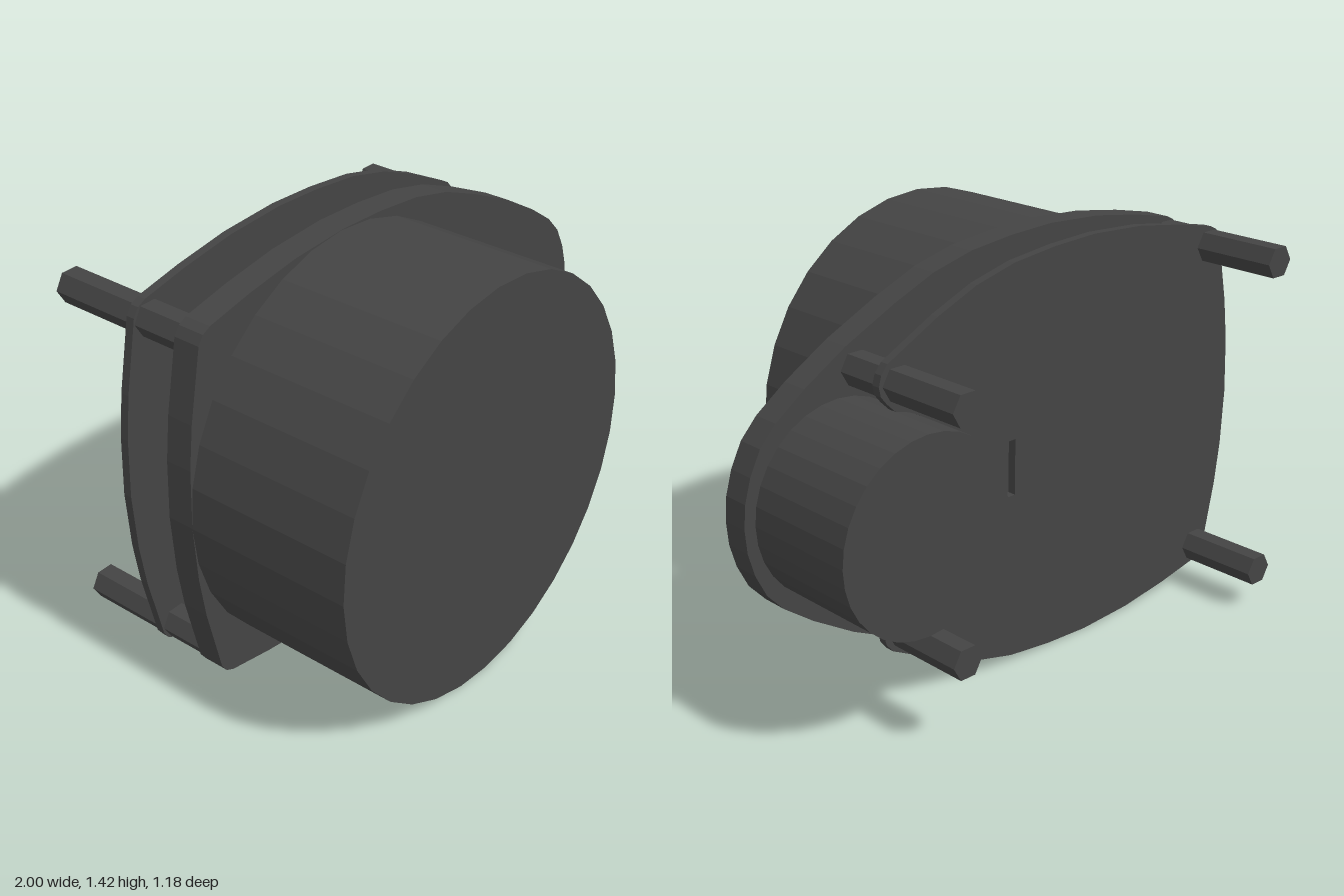
import * as THREE from 'three';

const CY = 0.712; // height of the horizontal symmetry axis
const MOTOR_X = 0.635, MOTOR_R = 0.325;
const material = new THREE.MeshStandardMaterial({ color: 0x444444, flatShading: true });

function addMesh(group, name, geometry) {
  const mesh = new THREE.Mesh(geometry, material);
  mesh.name = name;
  group.add(mesh);
}

// Cylinder lying along z between two depths
function addCylinder(group, name, x, y, radius, z0, z1, sides) {
  const g = new THREE.CylinderGeometry(radius, radius, z1 - z0, sides);
  g.rotateY(Math.PI / 2); // puts a corner on the x axis
  g.rotateX(Math.PI / 2);
  g.translate(x, y, (z0 + z1) / 2);
  addMesh(group, name, g);
}

// Mirrors an upper half outline (y measured from the axis) and extrudes it along z
function addPlate(group, name, half, z0, z1) {
  const lower = half.filter(([, y]) => y > 0).reverse().map(([x, y]) => [x, -y]);
  const points = [...half, ...lower].map(([x, y]) => new THREE.Vector2(x, CY + y));
  const g = new THREE.ExtrudeGeometry(new THREE.Shape(points), { depth: z1 - z0, bevelEnabled: false });
  g.translate(0, 0, z0);
  addMesh(group, name, g);
}

export function createModel() {
  const model = new THREE.Group();
  model.name = 'drumHousing';

  // Upper edge shared by both plates, running from right to left
  const crown = [
    [0.4, 0.578], [0.24, 0.644], [0.08, 0.684], [-0.1, 0.704], [-0.28, 0.712],
    [-0.5, 0.7], [-0.7, 0.67], [-0.87, 0.635], [-0.9, 0.62], [-0.92, 0.59],
    [-0.97, 0.35], [-0.99, 0.2], [-1, 0],
  ];

  // Egg-shaped mounting flange
  const nose = [
    [1, 0], [0.993, 0.08], [0.97, 0.16], [0.93, 0.24], [0.87, 0.305],
    [0.76, 0.385], [0.6, 0.482],
  ];
  addPlate(model, 'flange', [...nose, ...crown], -0.09, 0.005);

  // Thin rear plate: fits round the motor, with a slot and rounded lobes at the rods
  const cutout = [[0.07, 0], [0.07, 0.097]];
  for (let i = 0; i <= 8; i++) {
    const a = THREE.MathUtils.degToRad(162.6 - i * 7.7);
    cutout.push([MOTOR_X + MOTOR_R * Math.cos(a), MOTOR_R * Math.sin(a)]);
  }
  const lobe = [[0.605, 0.35], [0.628, 0.378], [0.635, 0.41], [0.625, 0.445], [0.6, 0.475]];
  addPlate(model, 'rearPlate', [...cutout, ...lobe, ...crown], -0.285, -0.255);

  // Drum, shaft boss and motor
  addCylinder(model, 'drum', -0.29, CY, 0.71, 0, 0.59, 32);
  addCylinder(model, 'shaftBoss', MOTOR_X, CY, 0.18, 0, 0.12, 32);
  addCylinder(model, 'motor', MOTOR_X, CY, MOTOR_R, -0.5, -0.09, 32);

  // Hexagonal standoff rods, mirrored about the axis
  for (const side of [1, -1]) {
    addCylinder(model, 'leftRod', 0.563, CY + side * 0.407, 0.058, -0.59, -0.09, 6);
    addCylinder(model, 'rightRod', -0.862, CY + side * 0.569, 0.058, -0.59, -0.09, 6);
  }
  return model;
}
